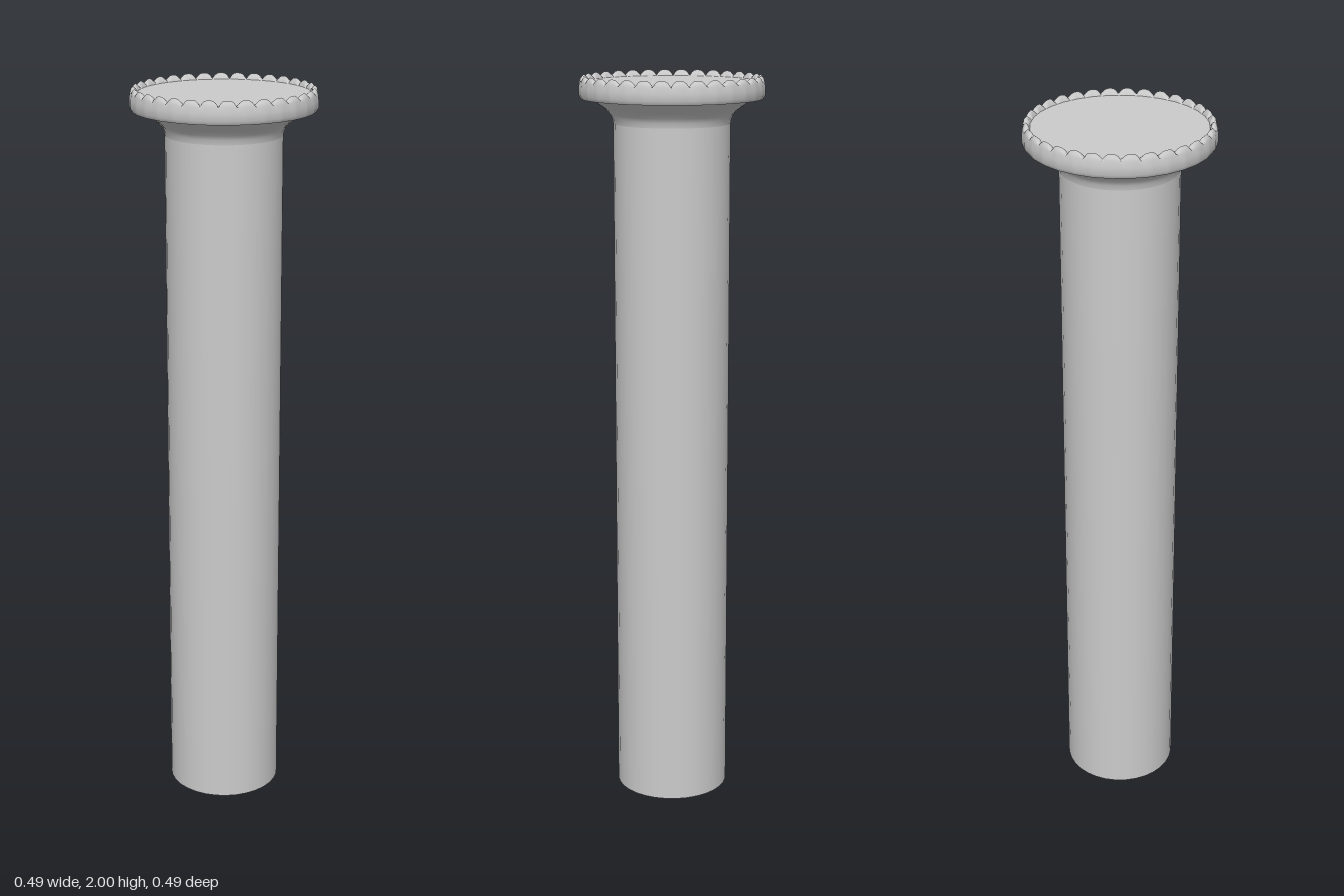
import * as THREE from 'three';
import { mergeVertices } from 'three/addons/utils/BufferGeometryUtils.js';

const SIDES = 32;
const STEP = (Math.PI * 2) / SIDES;
const material = new THREE.MeshStandardMaterial({ color: 0xcccccc, side: THREE.DoubleSide });

function lathe(name, points, segments = SIDES) {
  const profile = points.map(([r, y]) => new THREE.Vector2(r, y));
  const mesh = new THREE.Mesh(new THREE.LatheGeometry(profile, segments), material);
  mesh.name = name;
  return mesh;
}

// Rim with one rounded tooth per side, notched halfway between corners
function scallopedRim() {
  const base = 1.984;
  const rim = lathe('scallopedRim', [
    [0.24, 1.94], [0.246, 1.95], [0.246, 1.968], [0.244, base],
    [0.241, 1.994], [0.235, 2], [0.229, 1.995], [0.225, base],
  ], SIDES * 8);
  const pos = rim.geometry.attributes.position;
  for (let i = 0; i < pos.count; i++) {
    const x = pos.getX(i), y = pos.getY(i), z = pos.getZ(i);
    const a = Math.atan2(x, z);
    const u = a / STEP - Math.round(a / STEP); // -0.5..0.5 across a tooth
    // keep the outline a 32-sided polygon
    const k = Math.cos(STEP / 2) / Math.cos((0.5 - Math.abs(u)) * STEP);
    const tooth = 1 - Math.pow(Math.abs(u) * 2, 3);
    pos.setXYZ(i, x * k, y > base ? base + (y - base) * tooth : y, z * k);
  }
  rim.geometry.deleteAttribute('uv');
  rim.geometry.deleteAttribute('normal');
  rim.geometry = mergeVertices(rim.geometry, 1e-5);
  rim.geometry.computeVertexNormals();
  return rim;
}

export function createModel() {
  const model = new THREE.Group();
  model.name = 'flaredPost';

  // Open-ended shaft
  model.add(lathe('shaft', [[0.155, 0], [0.155, 1.875]]));

  // Flare under the head
  model.add(lathe('flare', [
    [0.155, 1.875], [0.157, 1.888], [0.163, 1.9], [0.175, 1.912], [0.194, 1.926], [0.213, 1.94],
  ]));

  // Flat underside, toothed rim and top disc of the head
  model.add(lathe('headUnderside', [[0.213, 1.94], [0.24, 1.94]]));
  model.add(scallopedRim());

  const disc = new THREE.Mesh(new THREE.CircleGeometry(0.225, SIDES), material);
  disc.name = 'topDisc';
  disc.rotation.x = -Math.PI / 2;
  disc.position.y = 1.984;
  model.add(disc);

  return model;
}
